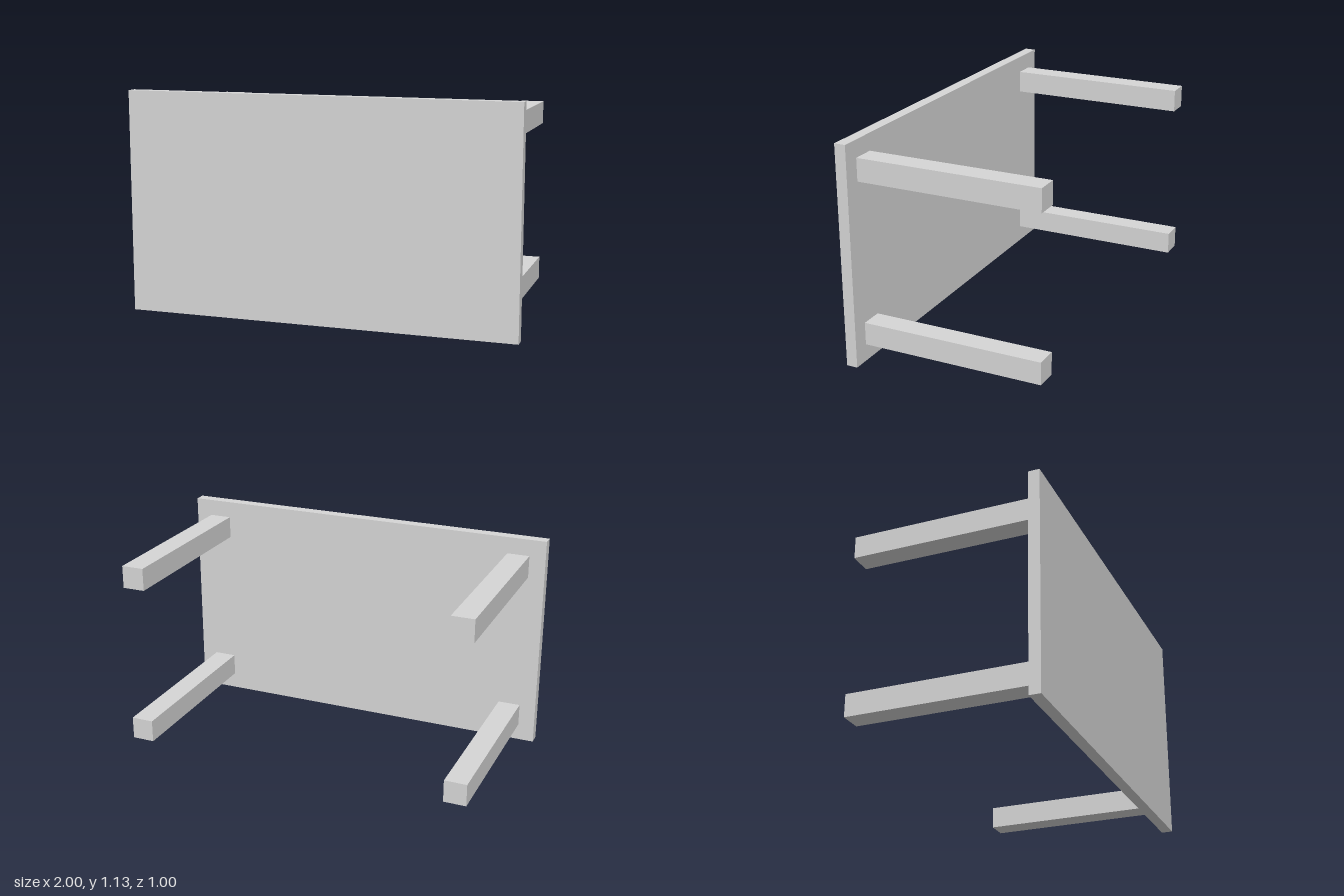
import * as THREE from 'three';

export function createModel() {
  const model = new THREE.Group();
  model.name = 'table';

  const lightGrey = new THREE.MeshStandardMaterial({ color: 0xd5d5d5 });
  lightGrey.name = 'lightGrey';

  const height = 1.132, thickness = 0.058, front = 0.5;
  const back = front - thickness;

  // Table top, standing on its long edge
  const top = new THREE.Mesh(new THREE.BoxGeometry(2, height, thickness), lightGrey);
  top.name = 'tableTop';
  top.position.set(0, height / 2, front - thickness / 2);
  model.add(top);

  // Four square legs pointing backwards
  const legSize = 0.116, legLength = back + 0.5;
  const legGeometry = new THREE.BoxGeometry(legSize, legSize, legLength);
  for (const [side, sx] of [['left', 1], ['right', -1]]) {
    for (const [level, sy] of [['Upper', 1], ['Lower', -1]]) {
      const leg = new THREE.Mesh(legGeometry, lightGrey);
      leg.name = `${side}${level}Leg`;
      leg.position.set(sx * 0.857, height / 2 + sy * 0.421, back - legLength / 2);
      model.add(leg);
    }
  }

  return model;
}
